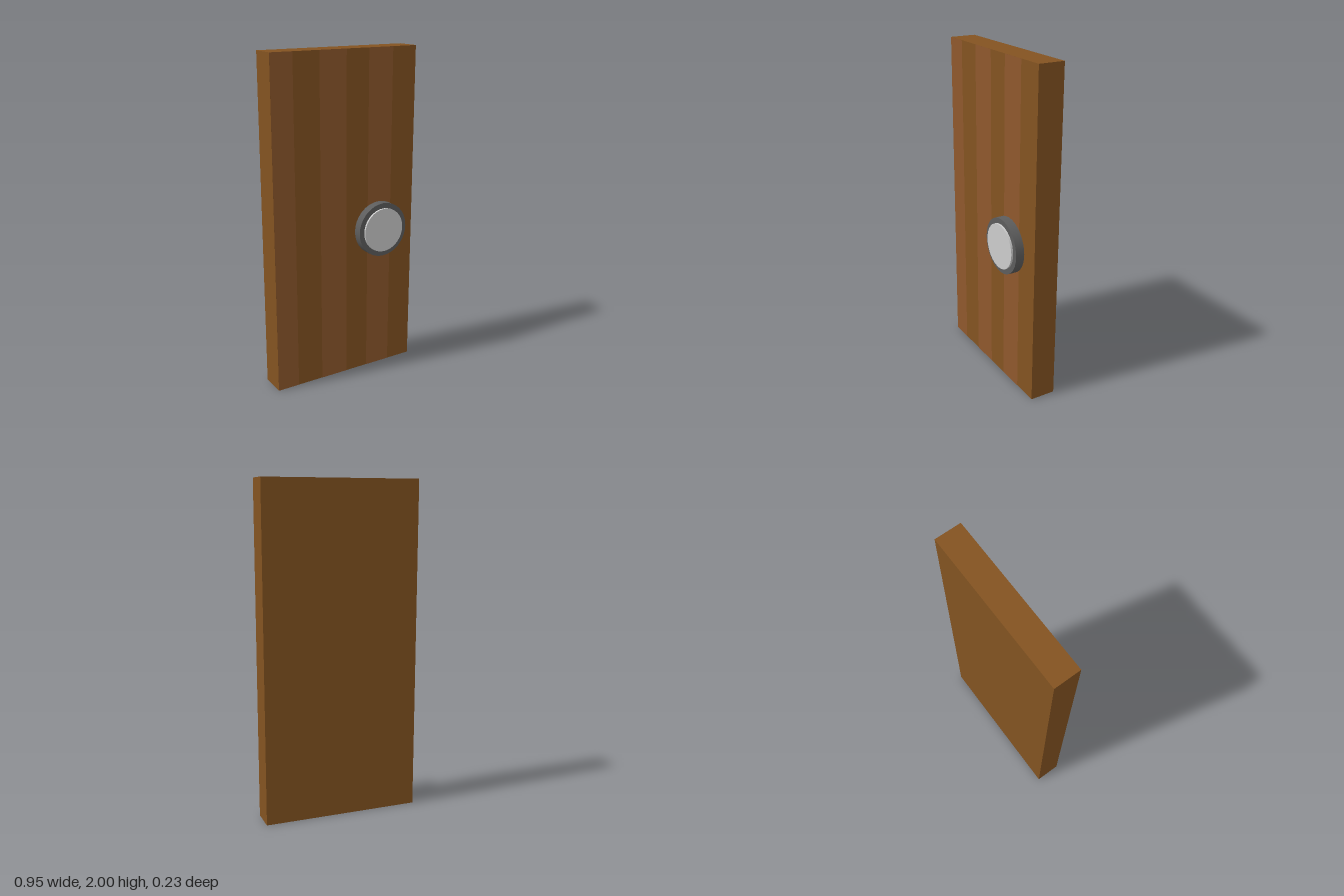
import * as THREE from 'three';

const paint = (color) => new THREE.MeshStandardMaterial({ color });

function addMesh(parent, name, geometry, material, x, y, z) {
  const mesh = new THREE.Mesh(geometry, material);
  mesh.name = name;
  mesh.position.set(x, y, z);
  parent.add(mesh);
  return mesh;
}

// Disc facing forward, spanning z0 to z1
function addDisc(parent, name, radius, z0, z1, material) {
  const geometry = new THREE.CylinderGeometry(radius, radius, z1 - z0, 32);
  geometry.rotateX(Math.PI / 2);
  return addMesh(parent, name, geometry, material, 0, 0, (z0 + z1) / 2);
}

export function createModel() {
  const model = new THREE.Group();
  model.name = 'door';

  // Door slab
  addMesh(model, 'doorPanel', new THREE.BoxGeometry(0.954, 2, 0.156),
    paint(0x835321), 0, 1, -0.038);

  // Lighter plank stripes lying on the front face
  const plankWood = paint(0x8f582c);
  for (const [x0, x1] of [[-0.477, -0.34], [-0.175, 0], [0.15, 0.315]]) {
    addMesh(model, 'plankStripe', new THREE.PlaneGeometry(x1 - x0, 2),
      plankWood, (x0 + x1) / 2, 1, 0.041);
  }

  // Round knob: light core with a dark rim around it
  const knob = new THREE.Group();
  knob.name = 'knob';
  knob.position.set(0.221, 0.922, 0);
  addDisc(knob, 'knobCore', 0.135, 0.04, 0.116, paint(0xcccccc));
  addDisc(knob, 'knobRim', 0.167, 0.051, 0.104, paint(0x5d5d5d));
  model.add(knob);

  return model;
}
